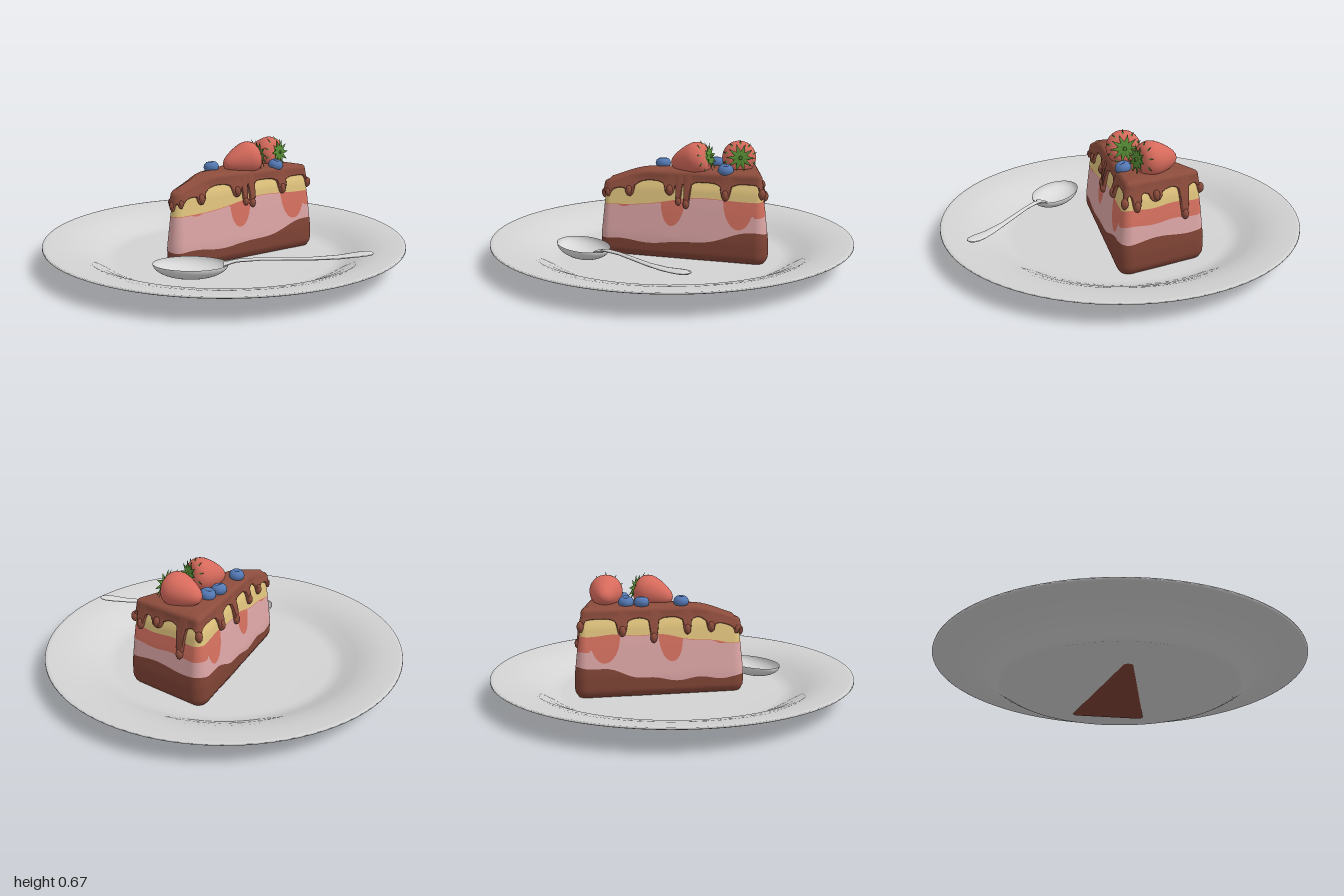
import * as THREE from 'three';

const mat = (name, color, double) => {
  const m = new THREE.MeshStandardMaterial({ color });
  m.name = name;
  if (double) m.side = THREE.DoubleSide;
  return m;
};
const smooth = (t) => THREE.MathUtils.smoothstep(t, 0, 1);
const lerp = THREE.MathUtils.lerp;

// Quad grid from rows of points; rows run upwards, columns anticlockwise from above
function grid(rows) {
  const n = rows[0].length, pos = rows.flat(2), idx = [];
  for (let r = 0; r < rows.length - 1; r++)
    for (let i = 0; i < n; i++) {
      const j = (i + 1) % n, a = r * n + i, b = r * n + j, c = a + n, d = b + n;
      idx.push(a, b, d, a, d, c);
    }
  const g = new THREE.BufferGeometry();
  g.setAttribute('position', new THREE.Float32BufferAttribute(pos, 3));
  g.setIndex(idx);
  g.computeVertexNormals();
  return g;
}

// Rounded wedge outline: three corner circles joined by straight sides
const R = 0.065;
function makeOutline() {
  const c = [[-0.02, 0.335], [0.195, -0.455], [-0.175, -0.46]], steps = [130, 60, 130], out = [];
  const ang = c.map((p, i) => {
    const q = c[(i + 1) % 3];
    return Math.atan2(-(q[1] - p[1]), q[0] - p[0]);
  });
  c.forEach((p, i) => {
    const a0 = ang[(i + 2) % 3], q = c[(i + 1) % 3];
    let a1 = ang[i];
    while (a1 < a0) a1 += Math.PI * 2;
    for (let k = 0; k < 24; k++) {
      const a = lerp(a0, a1, k / 24);
      out.push({ x: p[0], z: p[1], nx: Math.sin(a), nz: Math.cos(a) });
    }
    for (let k = 0; k < steps[i]; k++) {
      const t = k / steps[i];
      out.push({ x: lerp(p[0], q[0], t), z: lerp(p[1], q[1], t), nx: Math.sin(a1), nz: Math.cos(a1) });
    }
  });
  return out;
}
const outline = makeOutline();
const at = (s, off) => [s.x + s.nx * (R + off), s.z + s.nz * (R + off)];

// Side slope of the cake: inward offset by height
const slope = [[0, 0.045], [0.02, 0.015], [0.05, 0], [0.13, 0], [0.3, 0.02], [0.4, 0.035], [0.45, 0.055], [0.6, 0.06]];
function inset(y) {
  for (let i = 1; i < slope.length; i++)
    if (y <= slope[i][0]) {
      const [y0, d0] = slope[i - 1], [y1, d1] = slope[i];
      return lerp(d0, d1, Math.max(0, (y - y0) / (y1 - y0)));
    }
  return 0.06;
}
const topY = (z) => 0.5 - 0.07 * smooth((z - 0.12) / 0.3);

// Layer boundaries, as heights at a point of the outline
const baseTop = (x, z) => 0.105 + 0.085 * smooth(-z / 0.5) + 0.008 * Math.sin(z * 23 + x * 17);
const spongeBottom = (x, z) => 0.295 + 0.06 * smooth((0.38 - z) / 0.55) + 0.005 * Math.sin(z * 19 + x * 25);
function jamBottom(x, z) {
  let hang = 0.003 + 0.08 * smooth((-0.38 - z) / 0.06);
  for (const [c, w, d] of [[0.0, 0.065, 0.14], [-0.35, 0.08, 0.15], [0.27, 0.03, 0.012]]) {
    const u = (z - c) / w;
    if (Math.abs(u) < 1) hang = Math.max(hang, d * Math.sqrt(1 - u * u));
  }
  return spongeBottom(x, z) - hang;
}

// Glaze drips: x, z, lowest y, half width
const right = (z) => 0.047 + 0.272 * (0.335 - z), left = (z) => -0.086 - 0.195 * (0.335 - z);
const drips = [
  ...[[0.24, 0.355, 0.026], [0.02, 0.37, 0.03], [-0.03, 0.315, 0.018], [-0.075, 0.3, 0.02], [-0.28, 0.355, 0.028]]
    .map(([z, y, w]) => [right(z), z, y, w]),
  ...[[0.22, 0.36, 0.024], [0.09, 0.35, 0.024], [-0.09, 0.31, 0.024], [-0.26, 0.35, 0.03]]
    .map(([z, y, w]) => [left(z), z, y, w]),
  [-0.02, 0.4, 0.335, 0.018], [-0.075, 0.365, 0.35, 0.016], [0.035, 0.365, 0.35, 0.016],
  [-0.1, -0.525, 0.265, 0.026], [0.06, -0.52, 0.39, 0.035], [0.17, -0.52, 0.35, 0.025],
  [0.25, -0.49, 0.37, 0.024], [-0.225, -0.5, 0.38, 0.03],
];
function glazeEdge(x, z) {
  const base = topY(z) - 0.06;
  let y = base;
  for (const [dx, dz, dy, w] of drips) {
    const u = Math.hypot(x - dx, z - dz) / w;
    const flare = 0.03 * Math.exp(-u * u / 2.2);
    y = Math.min(y, base - flare - (u < 1 ? (base - flare - dy + 0.01) * Math.sqrt(1 - u * u) * 0.95 : 0));
  }
  return y;
}

// One band of the cake's side wall between two boundaries
function band(low, high, n = 8) {
  const rows = [];
  for (let r = 0; r <= n; r++)
    rows.push(outline.map((s) => {
      const [x0, z0] = at(s, 0);
      const y = lerp(low(x0, z0), high(x0, z0), r / n), [x, z] = at(s, -inset(y));
      return [x, y, z];
    }));
  return grid(rows);
}

// Glaze: dripping wall, rounded rim, then a top closing on the centre line
function glazeGeometry() {
  const rows = [], wall = [[0, -0.006], [0.04, 0.009], [0.12, 0.016], [0.3, 0.017], [0.6, 0.016], [1, 0.016]];
  for (const [v, t] of wall)
    rows.push(outline.map((s) => {
      const [x0, z0] = at(s, 0);
      const y = lerp(glazeEdge(x0, z0), topY(z0) - 0.025, v), [x, z] = at(s, t - inset(y));
      return [x, y, z];
    }));
  const rim = (s, a) => {
    const e = topY(at(s, 0)[1]) - 0.025;
    const [x, z] = at(s, 0.016 - inset(e) - 0.025 * (1 - Math.cos(a)));
    return [x, e + 0.025 * Math.sin(a), z];
  };
  for (let k = 1; k <= 5; k++) rows.push(outline.map((s) => rim(s, k * Math.PI / 10)));
  for (let k = 1; k <= 4; k++)
    rows.push(outline.map((s) => {
      const [x, y, z] = rim(s, Math.PI / 2), t = k / 4;
      const az = THREE.MathUtils.clamp(z, -0.4, 0.33), ax = -0.02 + 0.038 * (0.335 - az);
      const pz = lerp(z, az, t);
      return [lerp(x, ax, t), lerp(y, topY(pz), t) + 0.008 * Math.sin(t * Math.PI / 2), pz];
    }));
  return grid(rows);
}

export function createModel() {
  const root = new THREE.Group();
  root.name = 'cakeOnPlate';
  const china = mat('china', 0xd2d2d2), steel = mat('steel', 0xd8d8d8, true), choc = mat('chocolate', 0x8c4c3c);
  const cocoa = mat('cocoaBase', 0x7f4335), cream = mat('pinkCream', 0xdba4a4), jam = mat('jam', 0xd4705f);
  const sponge = mat('sponge', 0xdfc27c), red = mat('strawberryRed', 0xd66a5c);
  const green = mat('leafGreen', 0x568a34, true), blue = mat('blueberryBlue', 0x5479b4);
  const add = (parent, name, geo, material) => {
    const m = new THREE.Mesh(geo, material);
    m.name = name;
    parent.add(m);
    return m;
  };
  const V = (a) => a.map(([x, y]) => new THREE.Vector2(x, y));

  // Plate
  add(root, 'plate', new THREE.LatheGeometry(V([[0, 0.004], [0.61, 0.004], [0.635, 0], [0.66, 0.012], [0.72, 0.05],
    [0.8, 0.084], [0.9, 0.106], [0.99, 0.117], [1, 0.122], [0.998, 0.13], [0.98, 0.13], [0.9, 0.121], [0.82, 0.102],
    [0.75, 0.07], [0.69, 0.036], [0.65, 0.022], [0.61, 0.017], [0, 0.015]]), 96), china);

  // Cake layers
  const cake = new THREE.Group();
  cake.name = 'cakeSlice';
  root.add(cake);
  add(cake, 'baseLayer', band(() => 0, baseTop, 12), cocoa);
  add(cake, 'creamLayer', band(baseTop, jamBottom), cream);
  add(cake, 'jamLayer', band(jamBottom, spongeBottom), jam);
  add(cake, 'spongeLayer', band(spongeBottom, (x, z) => topY(z) - 0.035), sponge);
  const foot = new THREE.Shape(outline.map((s) => new THREE.Vector2(...at(s, -inset(0)))));
  add(cake, 'baseUnderside', new THREE.ShapeGeometry(foot).rotateX(Math.PI / 2), cocoa);
  add(cake, 'glaze', glazeGeometry(), choc);

  // Round drop at the end of each drip
  for (const [x, z, y, w] of drips) {
    const s = outline.reduce((b, p) => {
      const d = Math.hypot(at(p, 0)[0] - x, at(p, 0)[1] - z);
      return d < b.d ? { d, p } : b;
    }, { d: 9 }).p;
    const r = Math.min(w, 0.022) * 0.85, [px, pz] = at(s, 0.006 - inset(y));
    const drop = add(cake, 'dripDrop', new THREE.SphereGeometry(r, 16, 12), choc);
    drop.position.set(px, y + r * 1.4, pz);
    drop.scale.y = 1.5;
  }

  // Strawberries with leafy crowns, from tip to stalk
  const berryProfile = V([[0, 0], [0.022, 0.006], [0.045, 0.03], [0.07, 0.075], [0.088, 0.125], [0.092, 0.16],
    [0.08, 0.195], [0.05, 0.215], [0, 0.215]]);
  const curve = new THREE.SplineCurve(berryProfile).getPoints(28).map((p) => new THREE.Vector2(Math.max(0, p.x), p.y));
  for (const [tip, stalk] of [[[-0.125, 0.545, -0.365], [0.09, 0.57, -0.37]], [[0, 0.525, 0], [0.08, 0.575, -0.2]]]) {
    const berry = new THREE.Group(), a = new THREE.Vector3(...tip), b = new THREE.Vector3(...stalk);
    berry.name = 'strawberry';
    berry.position.copy(a);
    berry.quaternion.setFromUnitVectors(new THREE.Vector3(0, 1, 0), b.sub(a).normalize());
    add(berry, 'strawberryFlesh', new THREE.LatheGeometry(curve, 32), red);
    for (let i = 0; i < 20; i++) {
      const outer = i % 2, len = outer ? 0.095 : 0.07;
      const leaf = new THREE.ConeGeometry(0.021, len, 6).translate(0, len / 2, 0).scale(1, 1, 0.3);
      leaf.rotateX(outer ? 1.85 : 1.5).translate(0, outer ? 0.22 : 0.228, 0.008).rotateY(i * Math.PI / 10);
      add(berry, 'strawberryLeaf', leaf, green);
    }
    add(berry, 'strawberryStalk', new THREE.CylinderGeometry(0.008, 0.016, 0.025, 8).translate(0, 0.23, 0), green);
    root.add(berry);
  }

  // Blueberries with a small dimple on top
  const blueProfile = V([[0, -0.032], [0.022, -0.028], [0.038, -0.014], [0.043, 0.002], [0.038, 0.018], [0.026, 0.029],
    [0.016, 0.031], [0.012, 0.024], [0, 0.021]]);
  for (const [x, y, z, tilt] of [[-0.05, 0.518, 0.05, 0.1], [-0.09, 0.518, -0.165, -0.2], [-0.08, 0.518, -0.25, 0.25],
    [0.137, 0.508, -0.29, -0.25]]) {
    const b = add(root, 'blueberry', new THREE.LatheGeometry(blueProfile, 24), blue);
    b.position.set(x, y, z);
    b.rotation.z = tilt;
  }

  // Spoon: hollow bowl and a flat handle swept through oval sections
  const spoon = new THREE.Group();
  spoon.name = 'spoon';
  spoon.position.set(0.2, 0, 0.475);
  spoon.rotation.y = 0.68;
  const bowl = new THREE.SphereGeometry(1, 40, 14, 0, Math.PI * 2, Math.PI / 2, Math.PI / 2);
  add(spoon, 'spoonBowl', bowl.scale(0.19, 0.075, 0.122).translate(0, 0.115, 0), steel);
  const path = [[0.165, 0.04, 0.114], [0.19, 0.026, 0.12], [0.23, 0.016, 0.132], [0.35, 0.012, 0.143], [0.6, 0.017, 0.148],
    [0.73, 0.028, 0.158], [0.82, 0.039, 0.172], [0.865, 0.037, 0.178], [0.89, 0.024, 0.181], [0.9, 0.002, 0.181]];
  const rows = path.map(([x, w, y]) => Array.from({ length: 16 }, (_, i) => {
    const a = i * Math.PI / 8;
    return [x, y + Math.min(0.008, w) * Math.sin(a), -w * Math.cos(a)];
  }));
  add(spoon, 'spoonHandle', grid(rows), steel);
  root.add(spoon);
  return root;
}
